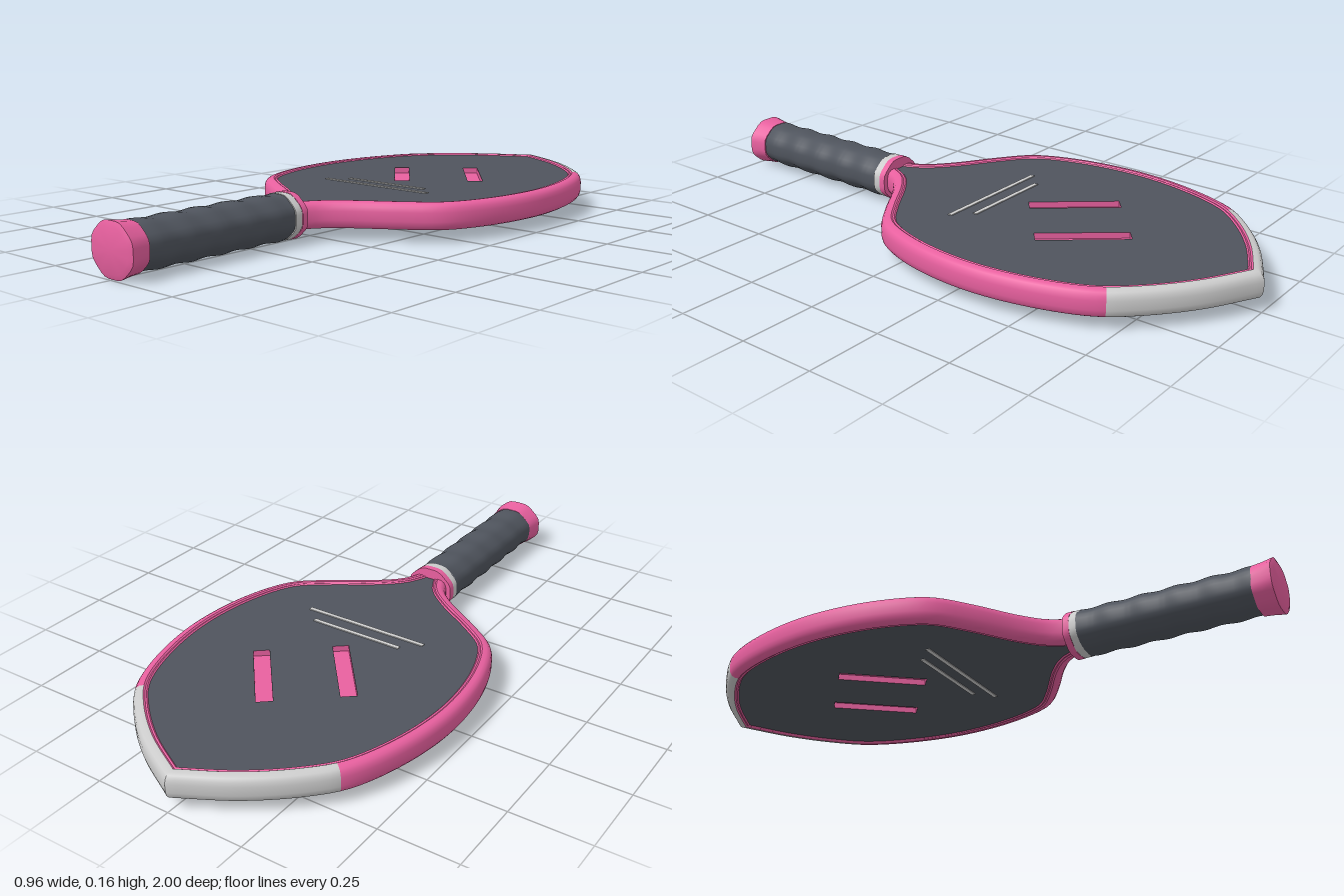
import * as THREE from 'three';
import { toCreasedNormals } from 'three/addons/utils/BufferGeometryUtils.js';

const MID = 0.0825; // height of the paddle's mid plane
const mat = (color) => new THREE.MeshStandardMaterial({ color, side: THREE.DoubleSide });
const pink = mat(0xe8609f), dark = mat(0x4f545d), white = mat(0xe4e4e4);

// Surface through rows of [x, y, z] points
function loft(rows) {
  const n = rows[0].length, index = [];
  for (let i = 0; i < rows.length - 1; i++) {
    for (let j = 0; j < n - 1; j++) {
      const a = i * n + j, c = a + n;
      index.push(a, a + 1, c, a + 1, c + 1, c);
    }
  }
  const g = new THREE.BufferGeometry();
  g.setAttribute('position', new THREE.Float32BufferAttribute(rows.flat(2), 3));
  g.setIndex(index);
  return toCreasedNormals(g, 0.7);
}

function add(parent, name, geometry, material) {
  const m = new THREE.Mesh(geometry, material);
  m.name = name;
  parent.add(m);
  return m;
}

// Outline of the head with inward normals: left neck, tip, right neck
function headOutline() {
  const pts = [[0, -1], [0.17, -0.905], [0.3, -0.8], [0.385, -0.7], [0.45, -0.53], [0.48, -0.33], [0.463, -0.13],
    [0.415, 0.02], [0.375, 0.08], [0.285, 0.15], [0.15, 0.24], [0.085, 0.3], [0.055, 0.36]];
  const curve = new THREE.CatmullRomCurve3(pts.map(([x, z]) => new THREE.Vector3(x, 0, z)));
  const half = [];
  for (let i = 0; i <= 60; i++) {
    const p = curve.getPointAt(i / 60), t = curve.getTangentAt(i / 60);
    // mitre at the pointed tip
    half.push(i === 0 ? { x: 0, z: -1, nx: 0, nz: 1 / t.x } : { x: p.x, z: p.z, nx: -t.z, nz: t.x });
  }
  const left = half.slice(1).reverse().map((p) => ({ ...p, x: -p.x, nx: -p.nx }));
  return [...left, ...half];
}

// Sweep a profile of [inset, height] along part of the outline
const sweep = (path, profile) => loft(path.map((p) =>
  profile.map(([d, y]) => [p.x + p.nx * d, MID + y, p.z + p.nz * d])));

// Rings around the handle axis; each station is [z, rx, ry]
function handleRings(stations, wave = () => 1) {
  const seg = 32;
  return loft(stations.map(([z, rx, ry]) => Array.from({ length: seg + 1 }, (_, j) => {
    const a = (j / seg) * Math.PI * 2;
    const r = (1 + 0.018 * Math.cos(8 * (a - Math.PI / 8))) * wave(a, z);
    return [Math.cos(a) * rx * r, MID + Math.sin(a) * ry * r, z];
  })));
}

// Slanted slot, as four corners in x and z
const ALONG = new THREE.Vector2(0.18, 0.216).normalize();
const ACROSS = new THREE.Vector2(ALONG.y, -ALONG.x);
const CENTRE = new THREE.Vector2(0, -0.387);
const SLOT = { length: 0.285, width: 0.05, offset: 0.122 };
function slotCorners(side) {
  return [[-1, -1], [1, -1], [1, 1], [-1, 1]].map(([u, v]) => CENTRE.clone()
    .addScaledVector(ALONG, u * SLOT.length / 2)
    .addScaledVector(ACROSS, side * SLOT.offset + v * SLOT.width / 2));
}

function extrudeFlat(shape, thickness) {
  return new THREE.ExtrudeGeometry(shape, { depth: thickness, bevelEnabled: false })
    .rotateX(Math.PI / 2).translate(0, MID + thickness / 2, 0);
}

export function createModel() {
  const model = new THREE.Group();
  model.name = 'paddle';

  // Head: rim, tip guard and inner lips
  const head = new THREE.Group();
  head.name = 'head';
  model.add(head);
  const path = headOutline();
  const upper = [[0, 0.014], [0.003, 0.027], [0.009, 0.036], [0.018, 0.041], [0.031, 0.0425]];
  const rim = [...upper.map(([d, y]) => [d, -y]).reverse(), ...upper];
  const first = path.findIndex((p) => p.z < -0.71), last = path.length - 1 - first;
  add(head, 'leftRim', sweep(path.slice(0, first + 1), rim), pink);
  add(head, 'rightRim', sweep(path.slice(last), rim), pink);
  add(head, 'tipGuard', sweep(path.slice(first, last + 1), rim), white);
  const lip = [[0.031, 0.0425], [0.036, 0.039], [0.041, 0.041], [0.048, 0.034]];
  add(head, 'upperLip', sweep(path, lip), pink);
  add(head, 'lowerLip', sweep(path, lip.map(([d, y]) => [d, -y]).reverse()), pink);

  // Face panel with two slots
  const panel = new THREE.Shape(path.map((p) => new THREE.Vector2(p.x + p.nx * 0.044, p.z + p.nz * 0.044)));
  for (const side of [-1, 1]) {
    const corners = slotCorners(side);
    panel.holes.push(new THREE.Path(corners));
    add(head, 'slotFloor', extrudeFlat(new THREE.Shape(corners), 0.036), pink);
  }
  add(head, 'facePanel', extrudeFlat(panel, 0.074), [dark, pink]);

  // Thin stripes on both faces
  for (const [z, width] of [[-0.112, 0.32], [-0.058, 0.43]]) {
    for (const side of [-1, 1]) {
      add(head, 'stripe', new THREE.BoxGeometry(width, 0.006, 0.014), white)
        .position.set(0, MID + side * 0.037, z);
    }
  }

  // Handle: collar, band, spiral grip and flared end cap
  const handle = new THREE.Group();
  handle.name = 'handle';
  model.add(handle);
  add(handle, 'collar', handleRings([[0.34, 0, 0], [0.34, 0.082, 0.073], [0.362, 0.082, 0.073]]), pink);
  add(handle, 'band', handleRings([[0.362, 0.081, 0.072], [0.388, 0.081, 0.072], [0.388, 0, 0]]), white);
  const grip = Array.from({ length: 61 }, (_, i) => [0.385 + 0.55 * i / 60, 0.079, 0.071]);
  add(handle, 'grip', handleRings(grip, (a, z) => 1 + 0.03 * Math.cos(a - z * Math.PI * 2 / 0.11)), dark);
  add(handle, 'endCap', handleRings([[0.93, 0, 0], [0.93, 0.081, 0.073], [0.96, 0.084, 0.076],
    [0.992, 0.091, 0.081], [0.998, 0.075, 0.066], [1, 0, 0]]), pink);
  return model;
}
